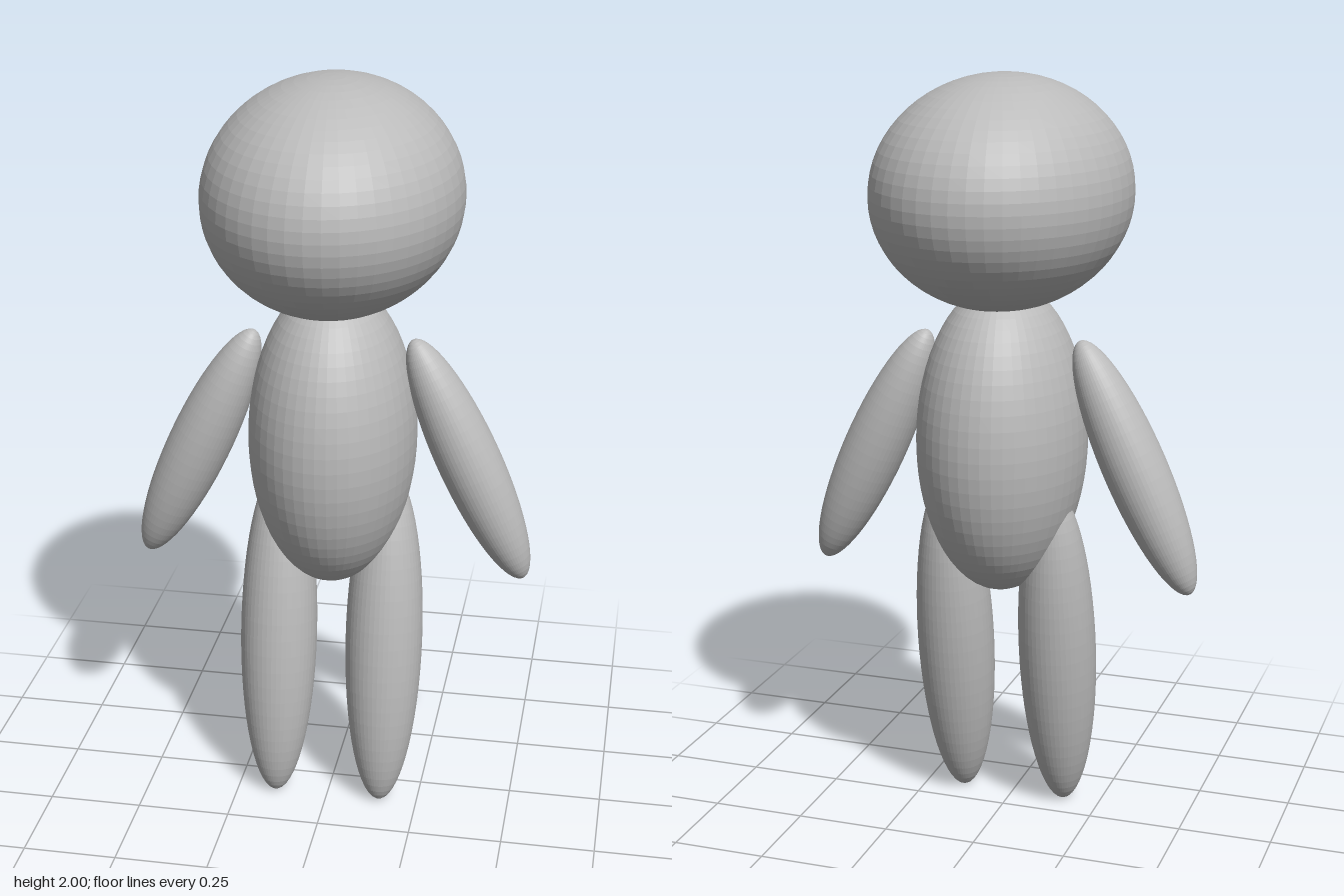
import * as THREE from 'three';

export function createModel() {
  const model = new THREE.Group();
  model.name = 'figure';

  const grey = new THREE.MeshStandardMaterial({ color: 0xbbbbbb, flatShading: true });
  grey.name = 'grey';

  const ball = new THREE.SphereGeometry(1, 48, 32);

  // Every part is a stretched, tilted ball
  function addEllipsoid(name, position, radii, rotation = [0, 0, 0]) {
    const mesh = new THREE.Mesh(ball, grey);
    mesh.name = name;
    mesh.position.set(...position);
    mesh.scale.set(...radii);
    mesh.rotation.set(...rotation);
    model.add(mesh);
  }

  addEllipsoid('head', [0, 1.7, 0], [0.331, 0.3, 0.415]);
  addEllipsoid('body', [0, 1.055, 0], [0.22, 0.415, 0.277]);

  // Arms spread outwards, legs swing forwards
  for (const [label, side] of [['left', 1], ['right', -1]]) {
    addEllipsoid(label + 'Arm', [side * 0.36, 1, 0], [0.083, 0.361, 0.087],
      [0, 0, side * THREE.MathUtils.degToRad(25)]);
    addEllipsoid(label + 'Leg', [side * 0.145, 0.471, 0.03], [0.104, 0.475, 0.105],
      [THREE.MathUtils.degToRad(-8.3), 0, 0]);
  }

  return model;
}
